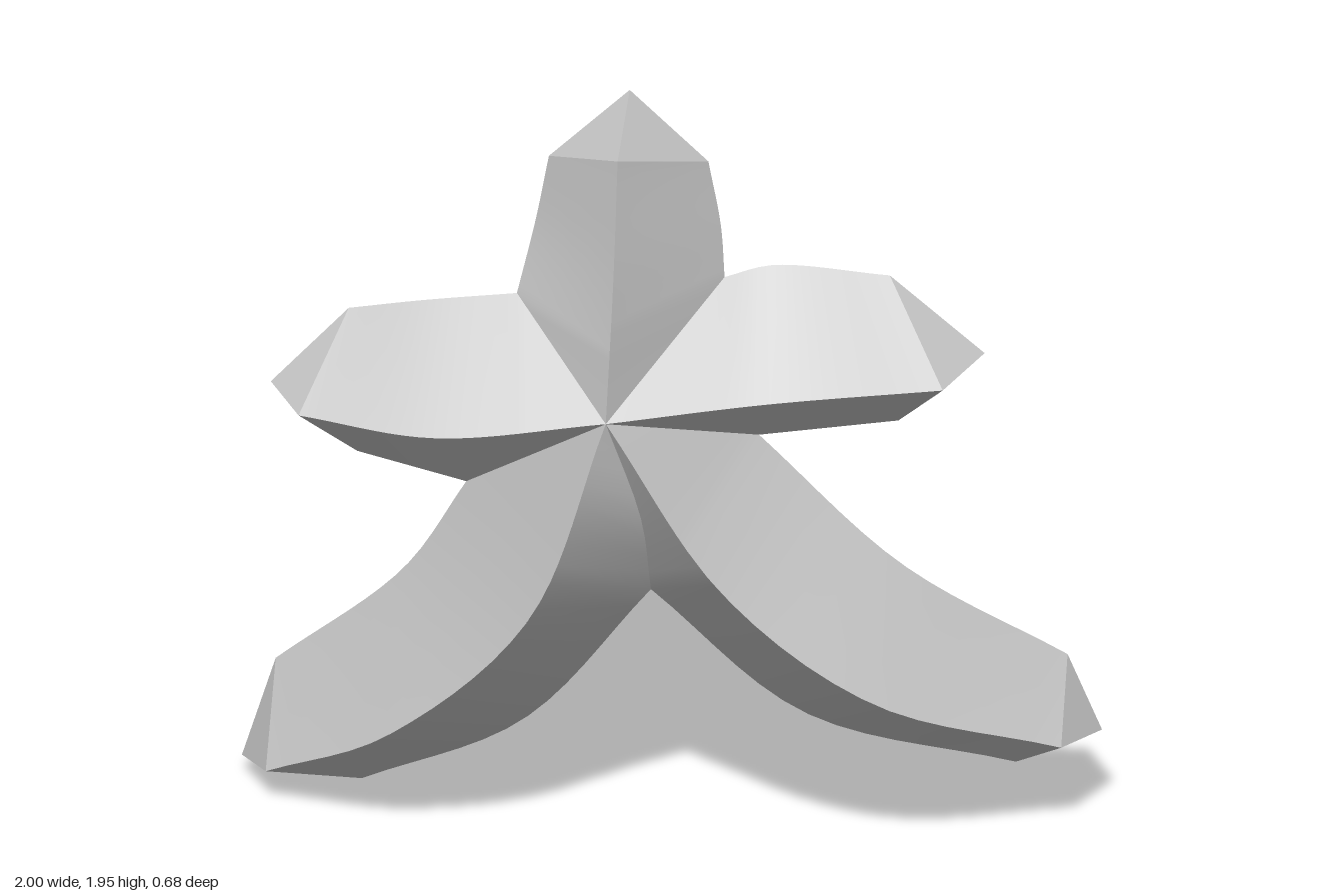
import * as THREE from 'three';

const V = (p) => new THREE.Vector3(...p);
const curve = (points) => new THREE.CatmullRomCurve3(points);
const HUB = [-0.1, 1.24, 0.34];
const THICK = 0.11;

// Creases between neighbouring arms, from the hub to the notch where they part,
// counter-clockwise from the top arm.
const creases = [
  [[-0.33, 1.43, 0.05]],
  [[-0.45, 0.93, 0.02]],
  [[-0.03, 0.96, 0.23], [-0.02, 0.68, 0.04]],
  [[0.23, 1.08, 0.03]],
  [[0.15, 1.48, 0.03]],
];

// Ridge, tip and the two free edges of each arm, in the same order.
// The first edge is counter-clockwise of the ridge, the second clockwise.
const arms = [
  { name: 'topArm', ridge: [[-0.085, 1.6, 0.305], [-0.08, 1.87, 0.25]], tip: [-0.07, 1.95, 0.03],
    edges: [[[-0.29, 1.6, 0.01], [-0.26, 1.76, 0]], [[0.14, 1.6, 0.01], [0.11, 1.76, 0]]] },
  { name: 'rightArm', ridge: [[-0.5, 1.16, 0.28], [-0.83, 1.135, 0.13]], tip: [-0.91, 1.13, -0.06],
    edges: [[[-0.71, 0.955, -0.07]], [[-0.55, 1.38, 0], [-0.73, 1.32, -0.07]]] },
  { name: 'rightLeg', ridge: [[-0.28, 0.71, 0.28], [-0.62, 0.31, 0.09], [-0.93, 0.085, -0.16]],
    tip: [-1, 0.04, -0.34],
    edges: [[[-0.33, 0.26, -0.12], [-0.72, 0, -0.32]], [[-0.6, 0.66, -0.08], [-0.92, 0.3, -0.32]]] },
  { name: 'leftLeg', ridge: [[0.17, 0.79, 0.295], [0.5, 0.48, 0.19], [0.92, 0.245, -0.1]],
    tip: [1, 0.21, -0.28],
    edges: [[[0.55, 0.72, -0.065], [0.92, 0.4, -0.28]], [[0.33, 0.31, -0.1], [0.8, 0.12, -0.28]]] },
  { name: 'leftArm', ridge: [[0.27, 1.29, 0.31], [0.67, 1.29, 0.2]], tip: [0.75, 1.29, -0.01],
    edges: [[[0.26, 1.51, 0.02], [0.53, 1.48, -0.01]], [[0.55, 1.11, -0.01]]] },
];

function surface(pos, index) {
  const g = new THREE.BufferGeometry();
  g.setAttribute('position', new THREE.Float32BufferAttribute(pos, 3));
  g.setIndex(index);
  g.computeVertexNormals();
  return g;
}

// One half of an arm: ruled surface from the ridge to the crease, then to the free edge.
function halfArm(ridge, crease, edge, share, flip) {
  const NC = 8, n = 22, pos = [], index = [];
  const ridgeCurve = curve(ridge), creaseCurve = curve(crease);
  const edgeCurve = curve([crease[crease.length - 1], ...edge]);
  for (let i = 0; i <= n; i++) {
    const inCrease = i <= NC;
    const u = inCrease ? i / NC : (i - NC) / (n - NC);
    const r = ridgeCurve.getPointAt(inCrease ? share * u : share + (1 - share) * u);
    const e = (inCrease ? creaseCurve : edgeCurve).getPointAt(u);
    pos.push(r.x, r.y, r.z, e.x, e.y, e.z);
  }
  const tri = (a, b, c) => index.push(...(flip ? [a, c, b] : [a, b, c]));
  for (let i = 0; i < n; i++) {
    const k = i * 2;
    tri(k, k + 2, k + 3);
    if (i > 0) tri(k, k + 3, k + 1);
  }
  return surface(pos, index);
}

// Triangle closing the end of one half between ridge, tip and edge corner.
function endCap(end, tip, corner, flip) {
  const pos = [end, tip, corner].flatMap((p) => p.toArray());
  return surface(pos, flip ? [0, 2, 1] : [0, 1, 2]);
}

// Share of the ridge that lies alongside a crease, by projecting its notch on the arm.
function creaseShare(hub, end, notch) {
  const arm = end.clone().sub(hub).setZ(0);
  return notch.clone().sub(hub).dot(arm) / arm.lengthSq();
}

export function createModel() {
  const group = new THREE.Group();
  const material = new THREE.MeshStandardMaterial({ color: 0xcccccc, side: THREE.DoubleSide });

  arms.forEach((arm, a) => {
    const part = new THREE.Group();
    part.name = arm.name;
    const add = (geometry, name) => {
      const mesh = new THREE.Mesh(geometry, material);
      mesh.name = name;
      part.add(mesh);
    };
    const tip = V(arm.tip);
    const ridge = [HUB, ...arm.ridge].map(V);
    const end = ridge[ridge.length - 1];
    const edges = arm.edges.map((edge) => edge.map(V));
    const corners = edges.map((edge) => edge[edge.length - 1]);

    // Inner valley follows the ridge at the wall thickness, turning with the arm.
    const endOffset = corners[0].clone().add(corners[1]).multiplyScalar(0.5).sub(end).setLength(0.1);
    const valley = ridge.map((p, i) =>
      new THREE.Vector3(0, 0, -THICK).lerp(endOffset, i / (ridge.length - 1)).add(p));

    edges.forEach((edge, s) => {
      const flip = s === 1;
      const crease = [HUB, ...creases[(a + 4 * s) % 5]].map(V);
      const last = crease.length - 1;
      const share = creaseShare(ridge[0], end, crease[last]);
      // The wall thins out along the crease towards the notch.
      const innerCrease = crease.map((p, i) => p.clone().setZ(p.z - THICK * (1 - i / last)));
      // Outer skin
      add(halfArm(ridge, crease, edge, share, flip), 'outerHalf');
      add(endCap(end, tip, corners[s], flip), 'outerEnd');
      // Inner skin
      add(halfArm(valley, innerCrease, edge, share, !flip), 'innerHalf');
      add(endCap(valley[valley.length - 1], tip, corners[s], !flip), 'innerEnd');
    });
    group.add(part);
  });
  return group;
}
